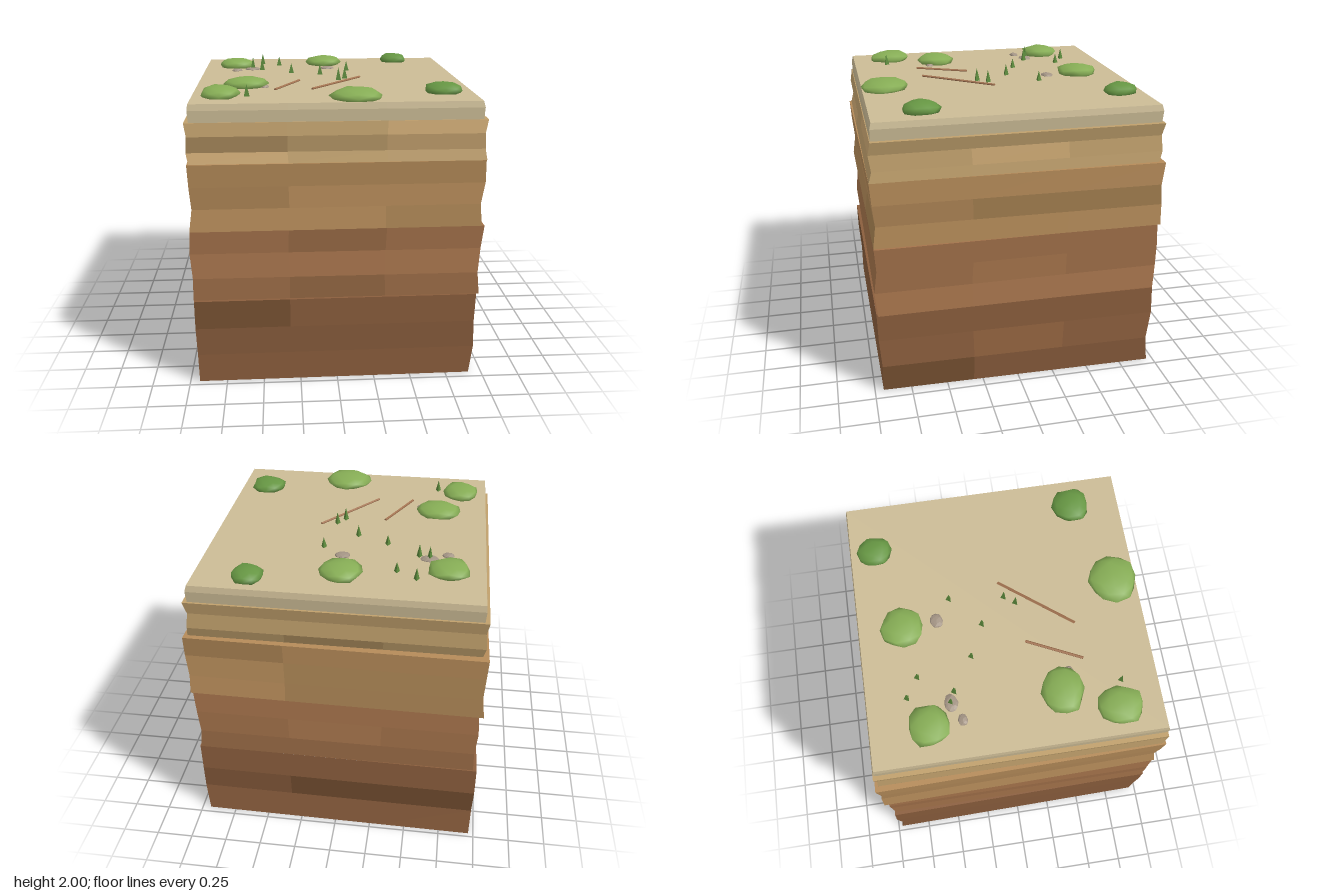
import * as THREE from 'three';
import { mergeVertices } from 'three/addons/utils/BufferGeometryUtils.js';

const TOP = 1.905;

function material(color, flat = true) {
  return new THREE.MeshStandardMaterial({ color, flatShading: flat, side: THREE.DoubleSide });
}

function rng(seed) {
  let s = seed * 7919 + 17;
  return () => (s = (s * 16807) % 2147483647) / 2147483647;
}

// Each layer lists, per row from bottom to top, its height and its reach to
// every side. tints holds the rock shade of each 3x3 panel (top row first) for
// front, right, back and left: 0 dark, 1 normal, 2 light.
const LAYERS = [
  {
    name: 'deepRock', y: [0, 0.2, 0.4, 0.6], taper: 0.97,
    left: [0.965, 0.97, 0.975, 0.975], right: [0.94, 0.965, 0.955, 0.96],
    front: [0.955, 0.955, 0.97, 0.975], back: [0.97, 0.94, 0.97, 0.96],
    colors: [0x7a5333, 0x8b5e3d, 0x946440],
    tints: ['011111111', '111121011', '111100111', '111111111'],
  },
  {
    name: 'clay', y: [0.6, 0.76, 0.925, 1.085], taper: 1,
    left: [0.95, 0.945, 0.96, 0.95], right: [0.95, 0.93, 0.945, 0.96],
    front: [0.95, 0.965, 0.945, 0.955], back: [0.95, 0.965, 0.96, 0.945],
    colors: [0x9b6c46, 0xa5734b, 0xab784e],
    tints: ['101111101', '111121111', '111121111', '111111111'],
  },
  {
    name: 'sandstone', y: [1.085, 1.23, 1.38, 1.53], taper: 0.97,
    left: [0.98, 0.96, 0.97, 0.975], right: [0.97, 0.96, 0.98, 0.975],
    front: [0.97, 0.95, 0.965, 0.975], back: [0.975, 0.975, 0.955, 0.975],
    colors: [0xab8554, 0xb58b59, 0xc39560],
    tints: ['111122110', '111100111', '122100211', '111111111'],
  },
  {
    name: 'paleSandstone', y: [1.53, 1.6, 1.705, 1.79], taper: 1,
    left: [0.935, 0.95, 0.94, 0.955], right: [0.95, 0.94, 0.93, 0.95],
    front: [0.96, 0.94, 0.955, 0.94], back: [0.925, 0.945, 0.935, 0.95],
    colors: [0xb09060, 0xc0a06c, 0xcca873],
    tints: ['112012211', '111121111', '111111101', '111111111'],
  },
  {
    name: 'topSoil', y: [1.79, 1.865, TOP], taper: 1,
    left: [0.925, 0.93, 0.925], right: [0.92, 0.925, 0.915],
    front: [0.935, 0.935, 0.925], back: [0.935, 0.94, 0.93],
    colors: [0xcbbb95, 0xcbbb95, 0xcbbb95],
    tints: ['111111111', '111111111', '111111111', '111111111'],
  },
];

// The four walls as paths across the layer's outline
const WALLS = [t => [t, 1], t => [1, -t], t => [-t, -1], t => [-1, t]];

function makeLayer(layer) {
  const group = new THREE.Group();
  group.name = layer.name;
  const point = (row, [u, v]) => {
    const x = u * (u < 0 ? layer.left[row] : layer.right[row]);
    const z = v * (v < 0 ? layer.back[row] : layer.front[row]);
    const narrow = THREE.MathUtils.lerp(1, layer.taper, (v + 1) / 2);
    const shallow = THREE.MathUtils.lerp(1, (1 + layer.taper) / 2, (u + 1) / 2);
    return [x * narrow, layer.y[row], z * shallow];
  };
  const panels = [[], [], []];
  const addQuad = (tint, a, b, c, d) => panels[tint].push(...a, ...b, ...c, ...a, ...c, ...d);
  const rows = layer.y.length - 1;
  WALLS.forEach((wall, side) => {
    for (let r = 0; r < rows; r++) {
      for (let c = 0; c < 3; c++) {
        const from = wall(-1 + c * 2 / 3), to = wall(-1 + (c + 1) * 2 / 3);
        const tint = +layer.tints[side][(rows - 1 - r) * 3 + c];
        addQuad(tint, point(r, from), point(r, to), point(r + 1, to), point(r + 1, from));
      }
    }
  });
  // Flat top; the underside stays open
  addQuad(1, ...[[-1, 1], [1, 1], [1, -1], [-1, -1]].map(p => point(rows, p)));
  panels.forEach((positions, i) => {
    if (!positions.length) return;
    const geometry = new THREE.BufferGeometry();
    geometry.setAttribute('position', new THREE.Float32BufferAttribute(positions, 3));
    geometry.computeVertexNormals();
    const mesh = new THREE.Mesh(geometry, material(layer.colors[i]));
    mesh.name = layer.name + ['DarkPanels', 'Panels', 'LightPanels'][i];
    group.add(mesh);
  });
  return group;
}

// Irregular rounded lump for bushes and stones
function makeLump(name, detail, seed, mat, [x, z, rx, rz], y, ry) {
  let geometry = new THREE.IcosahedronGeometry(1, detail);
  geometry.deleteAttribute('normal');
  geometry.deleteAttribute('uv');
  geometry = mergeVertices(geometry, 1e-3);
  const random = rng(seed);
  const pos = geometry.attributes.position;
  for (let i = 0; i < pos.count; i++) {
    const k = 0.9 + 0.18 * random();
    pos.setXYZ(i, pos.getX(i) * k * rx, pos.getY(i) * k * ry, pos.getZ(i) * k * rz);
  }
  geometry.computeVertexNormals();
  const mesh = new THREE.Mesh(geometry, mat);
  mesh.name = name;
  mesh.position.set(x, y, z);
  return mesh;
}

export function createModel() {
  const model = new THREE.Group();
  model.name = 'terrainBlock';
  LAYERS.forEach(layer => model.add(makeLayer(layer)));

  // Bushes: x, z, half width, half depth
  const leaf = material(0x86ad55, false), darkLeaf = material(0x669643, false);
  [
    [-0.69, -0.55, 0.14, 0.135], [-0.01, -0.65, 0.135, 0.14], [-0.59, 0.31, 0.155, 0.135],
    [-0.74, 0.65, 0.13, 0.155], [0.13, 0.77, 0.17, 0.165],
    [0.57, -0.77, 0.105, 0.115], [0.72, 0.6, 0.125, 0.125],
  ].forEach((b, i) =>
    model.add(makeLump('bush', 1, i + 3, i < 5 ? leaf : darkLeaf, b, 1.922, 0.05)));

  // Stones
  const stone = material(0xa39484);
  [
    [-0.56, -0.4, 0.06, 0.045], [-0.68, -0.34, 0.04, 0.032],
    [0.01, -0.42, 0.053, 0.042], [-0.46, 0.37, 0.032, 0.032],
  ].forEach((s, i) => model.add(makeLump('stone', 1, i + 21, stone, s, TOP, 0.018)));

  // Three-sided grass spikes: x, z, height
  const grass = material(0x5c8a3c);
  [
    [-0.49, -0.67, 0.08], [-0.36, -0.59, 0.07], [-0.49, -0.37, 0.09], [-0.56, -0.4, 0.095],
    [-0.27, -0.23, 0.07], [0.15, -0.32, 0.07], [-0.06, -0.13, 0.08], [0.11, 0.04, 0.085],
    [0.06, 0.11, 0.09], [-0.57, 0.69, 0.08],
  ].forEach(([x, z, h]) => {
    const spike = new THREE.Mesh(new THREE.ConeGeometry(0.022, h, 3), grass);
    spike.name = 'grassSpike';
    spike.position.set(x, TOP + h / 2, z);
    spike.rotation.y = Math.PI;
    model.add(spike);
  });

  // Fallen twigs
  const wood = material(0xa0714f);
  [[-0.22, 0.13, -0.39, 0.48], [0.22, 0.015, -0.14, 0.47]].forEach(([x1, z1, x2, z2]) => {
    const dir = new THREE.Vector3(x2 - x1, 0, z2 - z1);
    const twig = new THREE.Mesh(new THREE.CylinderGeometry(0.01, 0.01, dir.length(), 5), wood);
    twig.name = 'twig';
    twig.position.set((x1 + x2) / 2, TOP + 0.003, (z1 + z2) / 2);
    twig.quaternion.setFromUnitVectors(new THREE.Vector3(0, 1, 0), dir.normalize());
    model.add(twig);
  });
  return model;
}
